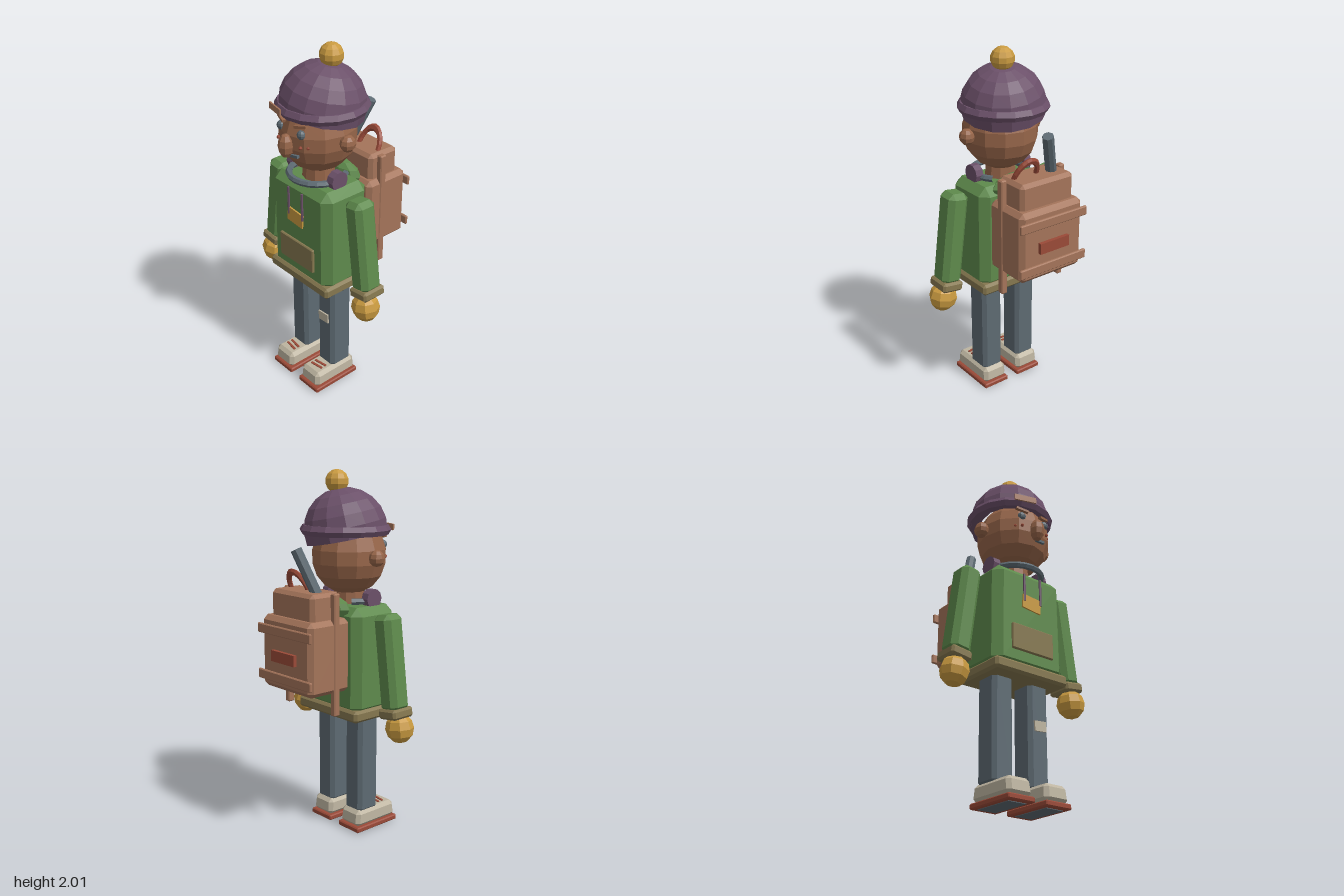
import * as THREE from 'three';
import { ConvexGeometry } from 'three/addons/geometries/ConvexGeometry.js';

const mat = (name, color) => {
  const m = new THREE.MeshStandardMaterial({ color });
  m.name = name;
  return m;
};

// Facet a smooth geometry
const flat = (g) => {
  const f = g.index ? g.toNonIndexed() : g;
  f.computeVertexNormals();
  return f;
};

// Box with bevelled edges; taper scales the upper end
function bevelBox(w, h, d, b, taper = 1) {
  const pts = [];
  for (const x of [-1, 1]) for (const y of [-1, 1]) for (const z of [-1, 1]) {
    const k = y > 0 ? taper : 1;
    const X = x * w / 2 * k, Y = y * h / 2, Z = z * d / 2 * k;
    pts.push(
      new THREE.Vector3(X, Y - y * b, Z - z * b),
      new THREE.Vector3(X - x * b, Y, Z - z * b),
      new THREE.Vector3(X - x * b, Y - y * b, Z));
  }
  return new ConvexGeometry(pts);
}

const ball = (rx, ry, rz, seg = 8, rings = 6) =>
  flat(new THREE.SphereGeometry(1, seg, rings).scale(rx, ry, rz));

export function createModel() {
  const root = new THREE.Group();
  const green = mat('green cloth', 0x5e8a4c);
  const purple = mat('purple wool', 0x6b5069);
  const mustard = mat('mustard', 0xc99a40);
  const khaki = mat('khaki', 0x85774f);
  const slate = mat('slate', 0x5d6a72);
  const skin = mat('skin', 0x966549);
  const leather = mat('leather', 0xa4745a);
  const red = mat('brick red', 0x9a4a38);
  const cream = mat('cream', 0xbdb4a0);

  const add = (name, geo, material, pos, rot = [0, 0, 0]) => {
    const m = new THREE.Mesh(geo, material);
    m.name = name;
    m.position.set(...pos);
    m.rotation.set(...rot);
    root.add(m);
    return m;
  };
  const box = (w, h, d) => new THREE.BoxGeometry(w, h, d);

  for (const s of [-1, 1]) {
    // Shoes
    add('sole', bevelBox(0.165, 0.03, 0.31, 0.006), red, [s * 0.117, 0.019, 0.155]);
    add('soleTread', box(0.11, 0.006, 0.24), slate, [s * 0.117, 0.004, 0.155]);
    add('shoe', bevelBox(0.152, 0.092, 0.295, 0.02, 0.96), cream, [s * 0.117, 0.079, 0.155]);
    for (const z of [0.21, 0.24])
      add('lace', box(0.08, 0.008, 0.013), red, [s * 0.117, 0.126, z], [0, s * 0.15, 0]);
    // Legs
    add('leg', bevelBox(0.13, 0.6, 0.145, 0.02), slate, [s * 0.117, 0.41, 0.103]);
    // Arms, cuffs and mittens
    add('arm', bevelBox(0.122, 0.52, 0.132, 0.028), green, [s * 0.342, 1.005, 0.103], [0, 0, s * 0.13]);
    add('cuff', bevelBox(0.126, 0.055, 0.148, 0.012), khaki, [s * 0.38, 0.738, 0.103], [0, 0, s * 0.13]);
    add('mitten', ball(0.08, 0.083, 0.076), mustard, [s * 0.392, 0.65, 0.123], [0, 0, s * 0.13]);
    // Ears, eyes, brows and freckles
    add('ear', ball(0.04, 0.045, 0.045), skin, [s * 0.22, 1.547, 0.105]);
    add('eye', ball(0.025, 0.025, 0.022), slate, [s * 0.08, 1.6, 0.287]);
    add('brow', box(0.072, 0.014, 0.02), skin, [s * 0.076, 1.643, 0.287], [0, s * 0.3, s * 0.2]);
    for (const x of [0.087, 0.113])
      add('freckle', ball(0.01, 0.01, 0.01, 6, 4), red, [s * x, 1.535, 0.396 - x * 1.1]);
    // Hood cords
    add('cord', flat(new THREE.CylinderGeometry(0.007, 0.007, 0.16, 6)), purple, [s * 0.055, 1.17, 0.273]);
    // Headphone cups
    add('earCup', flat(new THREE.CylinderGeometry(0.053, 0.053, 0.045, 10)), purple,
      [s * 0.163, 1.325, 0.125], [0, 0, Math.PI / 2]);
    // Pack shoulder straps
    add('shoulderStrap', bevelBox(0.036, 0.655, 0.04, 0.006), leather, [s * 0.192, 1.058, -0.162]);
  }

  // Coat
  add('coat', bevelBox(0.465, 0.59, 0.31, 0.045, 0.985), green, [0, 0.995, 0.105]);
  add('hem', bevelBox(0.48, 0.065, 0.33, 0.014), khaki, [0, 0.703, 0.105]);
  add('frontPocket', bevelBox(0.275, 0.145, 0.018, 0.005), khaki, [0, 0.87, 0.268]);
  add('badge', box(0.122, 0.08, 0.009), mustard, [-0.005, 1.085, 0.27], [0, 0, -0.1]);
  add('hood', ball(0.16, 0.068, 0.055, 10, 6), green, [0, 1.277, -0.035]);
  add('kneePatch', box(0.076, 0.055, 0.009), cream, [0.115, 0.45, 0.182], [0, 0, 0.08]);

  // Neck and headphone band
  add('neck', flat(new THREE.CylinderGeometry(0.08, 0.09, 0.14, 10)), skin, [0, 1.33, 0.11]);
  const arc = Math.PI + 1.4;
  add('headphoneBand',
    flat(new THREE.TorusGeometry(0.15, 0.018, 6, 16, arc).rotateZ(-0.7).rotateX(Math.PI / 2)),
    slate, [0, 1.312, 0.12]);

  // Head
  add('head', ball(0.205, 0.213, 0.21, 12, 9), skin, [0, 1.545, 0.11]);
  add('nose', ball(0.042, 0.066, 0.044), skin, [0, 1.525, 0.321]);
  add('mouth', box(0.068, 0.014, 0.016), slate, [0.033, 1.474, 0.302], [0, 0.1, 0.12]);

  // Knitted hat, leaning back and to its left
  const profile = [new THREE.Vector2(0.17, -0.045)];
  for (let i = 0; i <= 6; i++) {
    const a = -0.2 + (Math.PI / 2 + 0.2) * i / 6;
    profile.push(new THREE.Vector2(Math.max(0.0001, 0.23 * Math.cos(a)), 0.222 * Math.sin(a)));
  }
  add('hatCrown', flat(new THREE.LatheGeometry(profile, 14)), purple, [0, 1.69, 0.08], [-0.15, 0, -0.13]);
  add('hatBrim', flat(new THREE.TorusGeometry(0.217, 0.031, 6, 16).rotateX(Math.PI / 2)),
    purple, [0, 1.688, 0.08]);
  add('pompom', ball(0.064, 0.064, 0.064, 10, 7), mustard, [0.03, 1.942, 0.046]);
  add('hatPatch', box(0.13, 0.034, 0.009), leather, [-0.08, 1.698, 0.321], [0, -0.25, 0.04]);

  // Backpack
  add('pack', bevelBox(0.41, 0.395, 0.28, 0.025), leather, [0, 1.05, -0.202]);
  add('packTop', bevelBox(0.345, 0.16, 0.2, 0.02), leather, [0, 1.306, -0.2]);
  for (const y of [1.175, 0.922])
    add('packBand', bevelBox(0.44, 0.052, 0.018, 0.005), leather, [0, y, -0.349]);
  add('packLabel', box(0.19, 0.06, 0.009), red, [0, 1.04, -0.345]);
  add('packLabelFace', box(0.19, 0.06, 0.02), red, [0, 1.04, -0.353]);
  add('packHandle', flat(new THREE.TorusGeometry(0.072, 0.014, 6, 10, Math.PI).scale(1, 1.5, 1)),
    red, [0.065, 1.38, -0.185], [-0.45, 0, 0]);

  // Rolled map tube standing in the pack
  const a = new THREE.Vector3(-0.1, 1.36, -0.2), b = new THREE.Vector3(-0.013, 1.605, -0.273);
  const dir = b.clone().sub(a);
  const tube = add('mapTube', flat(new THREE.CylinderGeometry(0.03, 0.03, dir.length(), 8)),
    slate, a.clone().add(b).multiplyScalar(0.5).toArray());
  tube.quaternion.setFromUnitVectors(new THREE.Vector3(0, 1, 0), dir.normalize());

  return root;
}
